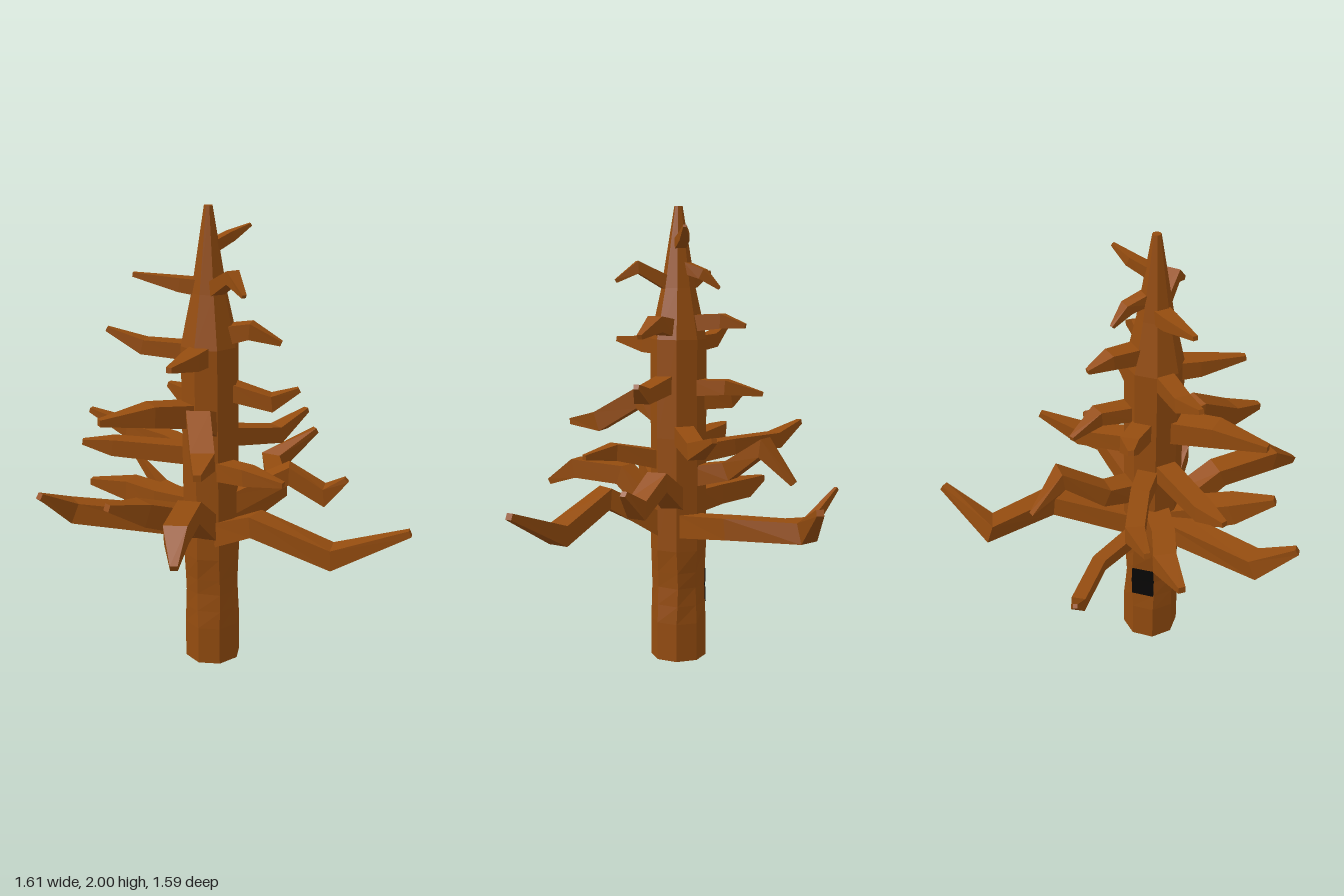
import * as THREE from 'three';

const CX = -0.11, CZ = 0.115;

// Skin a list of equal-sized rings of Vector3 into flat-shaded faces with capped ends
function skin(rings, material) {
  const n = rings[0].length, pos = [];
  const tri = (a, b, c) => [a, b, c].forEach(v => pos.push(v.x, v.y, v.z));
  for (let r = 0; r + 1 < rings.length; r++) {
    for (let i = 0; i < n; i++) {
      const j = (i + 1) % n;
      const a = rings[r][i], b = rings[r][j], c = rings[r + 1][j], d = rings[r + 1][i];
      tri(a, b, c);
      tri(a, c, d);
    }
  }
  const last = rings[rings.length - 1];
  for (let i = 1; i + 1 < n; i++) {
    tri(last[0], last[i], last[i + 1]);
    tri(rings[0][0], rings[0][i + 1], rings[0][i]);
  }
  const g = new THREE.BufferGeometry();
  g.setAttribute('position', new THREE.Float32BufferAttribute(pos, 3));
  g.computeVertexNormals();
  return new THREE.Mesh(g, material);
}

// Eight-sided trunk ring, slightly pinched and twisted in its lower part
function trunkRing(y, r, pinch = 0, twist = 0) {
  return Array.from({ length: 8 }, (_, i) => {
    const a = -i * Math.PI / 4 + (i % 3 === 0 ? twist : -twist * 0.5);
    const rr = r * (1 - pinch * (i % 2 ? 0.4 : 1));
    return new THREE.Vector3(CX + rr * Math.cos(a), y, CZ + rr * Math.sin(a));
  });
}

// Four-sided tapering branch: starts inside the trunk at height y0, then follows the points
function branch(y0, width, pts, material) {
  const path = pts.map(p => new THREE.Vector3(...p));
  const out = new THREE.Vector3(path[0].x - CX, 0, path[0].z - CZ).normalize();
  const inner = width < 0.07 ? 0.03 : 0.085;
  path.unshift(new THREE.Vector3(CX, y0, CZ).addScaledVector(out, inner));
  const n = path.length - 1, up = new THREE.Vector3(0, 1, 0);
  const rings = path.map((p, k) => {
    const t = new THREE.Vector3();
    if (k > 0) t.add(p.clone().sub(path[k - 1]).normalize());
    if (k < n) t.add(path[k + 1].clone().sub(p).normalize());
    t.normalize();
    const side = t.clone().cross(up).normalize();
    const top = side.clone().cross(t);
    const f = k === n ? 0.3 : k === 0 ? 1.1 : 1 - 0.06 * k / n;
    const h = width * f / 2;
    return [[-1, -1], [-1, 1], [1, 1], [1, -1]].map(([s, v]) =>
      p.clone().addScaledVector(side, s * h).addScaledVector(top, v * h * 0.92));
  });
  return skin(rings, material);
}

export function createModel() {
  const group = new THREE.Group();
  const bark = new THREE.MeshStandardMaterial({ color: 0x944c0f });
  bark.name = 'bark brown';
  const dark = new THREE.MeshStandardMaterial({ color: 0x080706, side: THREE.DoubleSide });
  dark.name = 'hollow black';

  // Trunk with a pointed top
  const rings = [
    trunkRing(0, 0.123), trunkRing(0.17, 0.123), trunkRing(0.25, 0.123, 0.06, 0.06),
    trunkRing(0.33, 0.123, 0.11, 0.1), trunkRing(0.4, 0.123, 0.08, 0.06), trunkRing(0.5, 0.123),
    trunkRing(1.0, 0.123), trunkRing(1.43, 0.123), trunkRing(1.65, 0.075), trunkRing(2, 0.018),
  ];
  const trunk = skin(rings, bark);
  trunk.name = 'trunk';
  group.add(trunk);

  // Dark hollow laid on the back left face of the trunk
  const pos = [];
  for (const r of [2, 3]) {
    const q = [rings[r][3], rings[r][4], rings[r + 1][4], rings[r + 1][3]].map(v =>
      [v.x - 0.004, v.y, v.z - 0.002]);
    [0, 1, 2, 0, 2, 3].forEach(i => pos.push(...q[i]));
  }
  const hollowGeo = new THREE.BufferGeometry();
  hollowGeo.setAttribute('position', new THREE.Float32BufferAttribute(pos, 3));
  hollowGeo.computeVertexNormals();
  const hollow = new THREE.Mesh(hollowGeo, dark);
  hollow.name = 'hollow';
  group.add(hollow);

  // Branches by tier: start height, width, path points
  const tiers = {
    lowerBranch: [
      [0.61, 0.1, [[-0.02, 0.67, -0.32], [-0.19, 0.67, -0.59], [-0.05, 0.8, -0.785]]],
      [0.61, 0.1, [[0.19, 0.74, 0.26], [0.5, 0.63, 0.18], [0.8, 0.765, 0.09]]],
      [0.6, 0.06, [[-0.36, 0.59, -0.13], [-0.6, 0.59, -0.23], [-0.76, 0.735, -0.245]]],
      [0.64, 0.1, [[-0.04, 0.8, 0.41], [0.05, 0.81, 0.65], [0.12, 0.735, 0.775]]],
      [0.64, 0.1, [[-0.57, 0.735, 0.5], [-0.615, 0.84, 0.65]]],
      [0.7, 0.1, [[-0.36, 0.71, 0.14], [-0.52, 0.72, 0.13], [-0.7, 0.735, 0.18]]],
      [0.66, 0.11, [[-0.25, 0.77, 0.45], [-0.3, 0.84, 0.615]]],
      [0.73, 0.09, [[0.17, 0.85, -0.07], [0.32, 0.76, -0.12], [0.41, 0.84, -0.145]]],
      [0.83, 0.09, [[-0.22, 0.86, -0.1], [-0.25, 0.98, -0.28], [-0.31, 0.83, -0.4]]],
    ],
    middleBranch: [
      [0.92, 0.08, [[-0.36, 0.94, 0.04], [-0.6, 0.95, 0], [-0.8, 1.015, 0.03]]],
      [0.95, 0.08, [[-0.5, 0.97, 0.28], [-0.61, 0.99, 0.35]]],
      [0.9, 0.08, [[0.15, 0.94, 0.25], [0.31, 0.93, 0.25]]],
      [1.02, 0.08, [[0.05, 0.98, -0.18], [0.11, 1.05, -0.355]]],
      [1.11, 0.1, [[-0.05, 1.16, 0.31], [0.06, 1.05, 0.46], [0.12, 1.04, 0.6]]],
      [1.14, 0.1, [[-0.25, 1.17, 0.36], [-0.37, 1.17, 0.55]]],
      [1.16, 0.08, [[-0.3, 1.16, 0.0], [-0.39, 1.19, 0.0]]],
      [1.22, 0.07, [[-0.18, 1.23, -0.12], [-0.29, 1.2, -0.23]]],
      [1.24, 0.075, [[0.15, 1.2, 0.05], [0.24, 1.25, -0.02]]],
    ],
    upperBranch: [
      [1.4, 0.08, [[-0.09, 1.4, 0.3], [-0.07, 1.415, 0.49]]],
      [1.4, 0.07, [[-0.38, 1.41, 0.2], [-0.53, 1.475, 0.25]]],
      [1.48, 0.075, [[0.06, 1.5, 0.07], [0.18, 1.45, 0.03]]],
      [1.5, 0.07, [[-0.2, 1.51, -0.07], [-0.25, 1.49, -0.16]]],
      [1.67, 0.065, [[-0.22, 1.68, 0.16], [-0.4, 1.715, 0.235]]],
      [1.66, 0.06, [[0.05, 1.74, 0.2], [0.13, 1.68, 0.25]]],
      [1.74, 0.05, [[-0.15, 1.71, 0.0], [-0.19, 1.65, -0.06]]],
      [1.84, 0.045, [[-0.06, 1.87, 0.02], [-0.005, 1.91, -0.045]]],
    ],
  };
  for (const [name, list] of Object.entries(tiers)) {
    list.forEach(([y0, width, pts], i) => {
      const mesh = branch(y0, width, pts, bark);
      mesh.name = name + (i + 1);
      group.add(mesh);
    });
  }
  return group;
}
